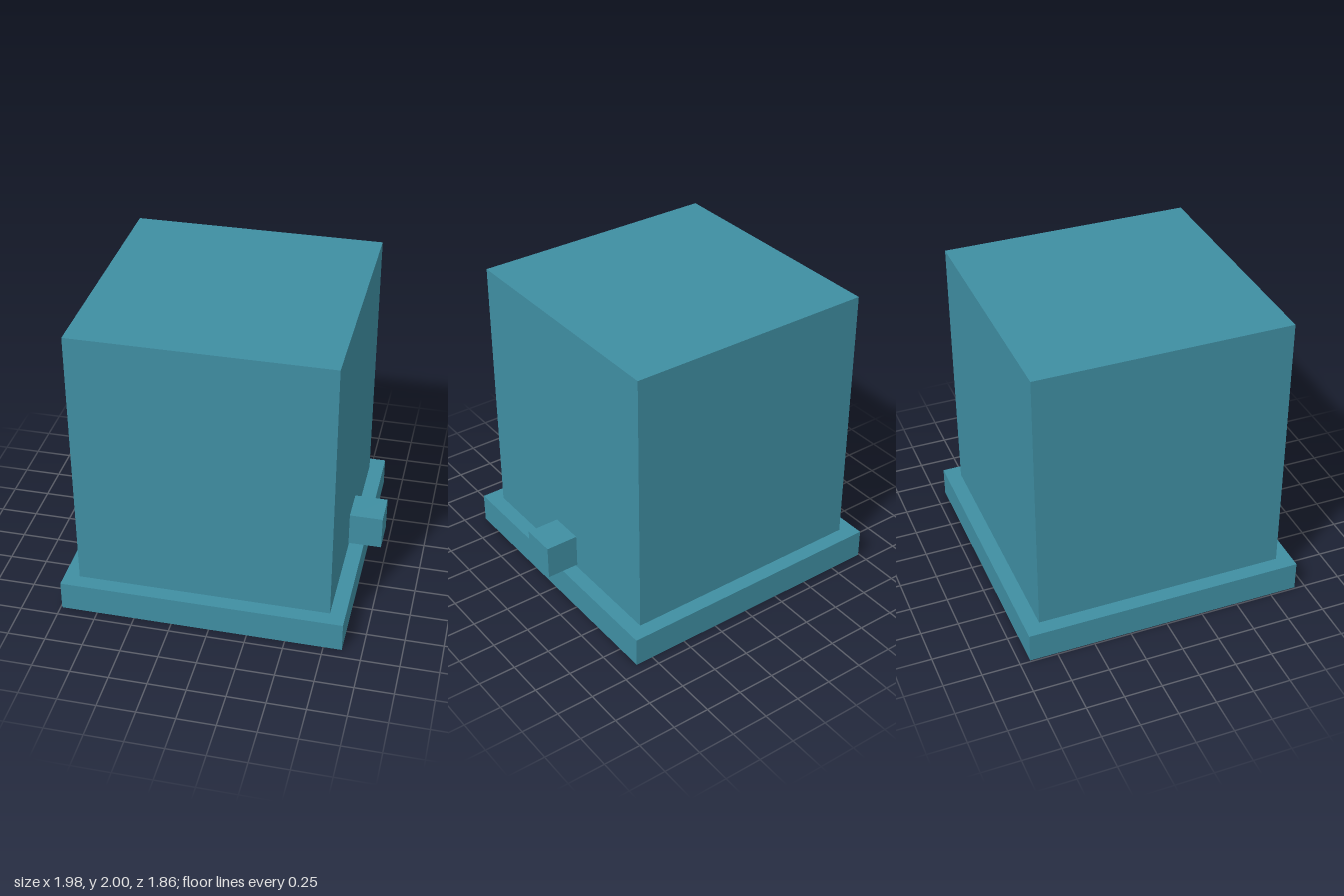
import * as THREE from 'three';

export function createModel() {
  const model = new THREE.Group();
  model.name = 'boxOnPlinth';
  const material = new THREE.MeshStandardMaterial({ color: 0x3f8ea2 });

  // Adds a box from its lower and upper corners
  function addBox(name, [x0, y0, z0], [x1, y1, z1]) {
    const mesh = new THREE.Mesh(new THREE.BoxGeometry(x1 - x0, y1 - y0, z1 - z0), material);
    mesh.position.set((x0 + x1) / 2, (y0 + y1) / 2, (z0 + z1) / 2);
    mesh.name = name;
    model.add(mesh);
  }

  // Square plinth, slightly wider than the body on all sides
  addBox('base', [-0.99, 0, -0.93], [0.87, 0.2, 0.93]);
  // Tall main block
  addBox('body', [-0.89, 0.2, -0.83], [0.77, 2, 0.83]);
  // Small block standing out from the left side, just above the plinth
  addBox('sideBlock', [0.77, 0.22, -0.115], [0.99, 0.45, 0.115]);

  return model;
}
